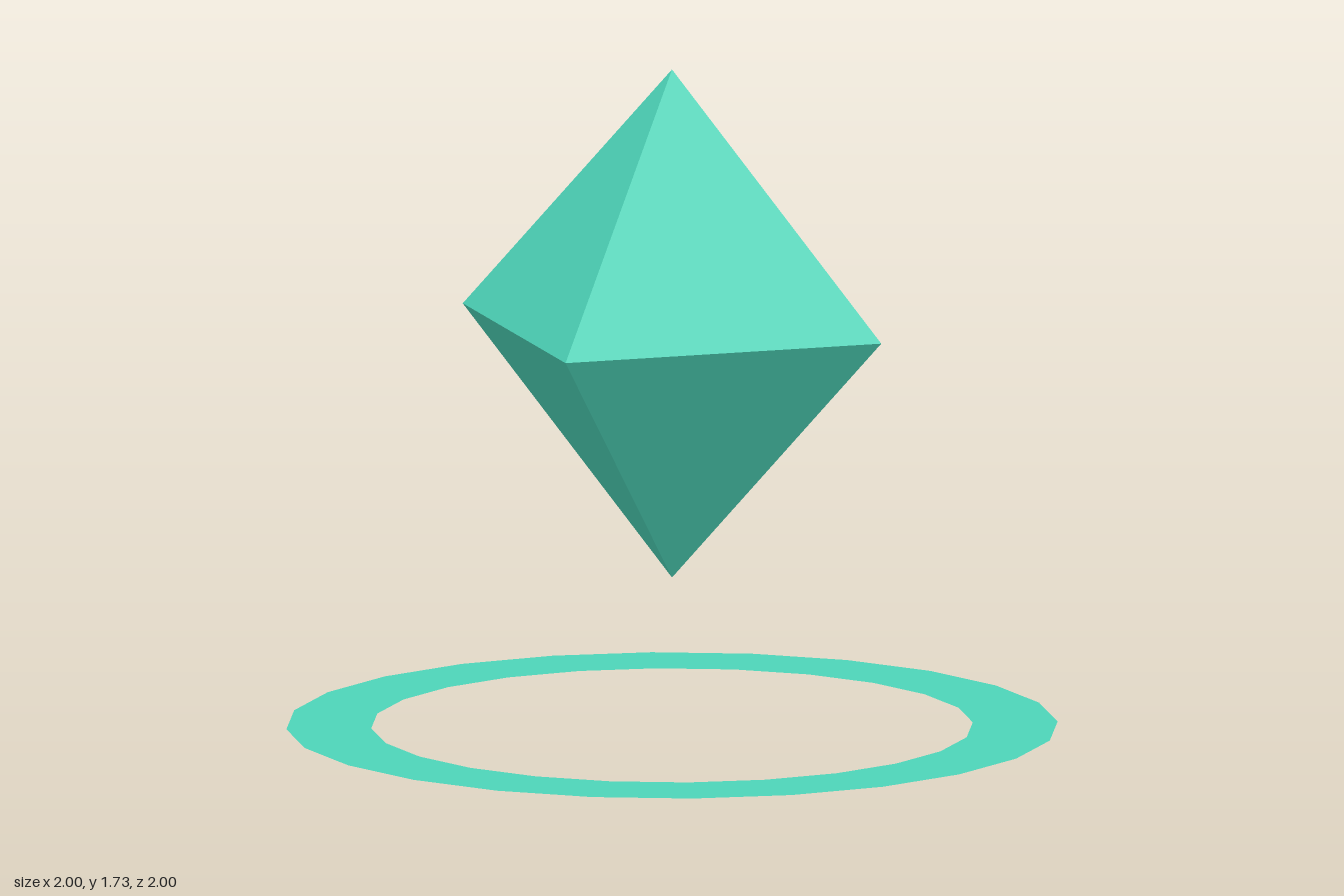
import * as THREE from 'three';

export function createModel() {
  const model = new THREE.Group();
  model.name = 'selectionMarker';

  const turquoise = new THREE.MeshStandardMaterial({ color: 0x4dd4b8, flatShading: true, side: THREE.DoubleSide });
  turquoise.name = 'turquoise';

  // Floating eight-sided gem, slightly taller than wide
  const gemShape = new THREE.OctahedronGeometry(1, 0);
  gemShape.scale(0.608, 0.67, 0.608);
  const gem = new THREE.Mesh(gemShape, turquoise);
  gem.name = 'gem';
  gem.position.y = 1.06;
  model.add(gem);

  // Flat ring lying on the ground, visible from both sides
  const ringShape = new THREE.RingGeometry(0.78, 1, 24);
  ringShape.rotateX(-Math.PI / 2);
  const ring = new THREE.Mesh(ringShape, turquoise);
  ring.name = 'groundRing';
  model.add(ring);

  return model;
}
